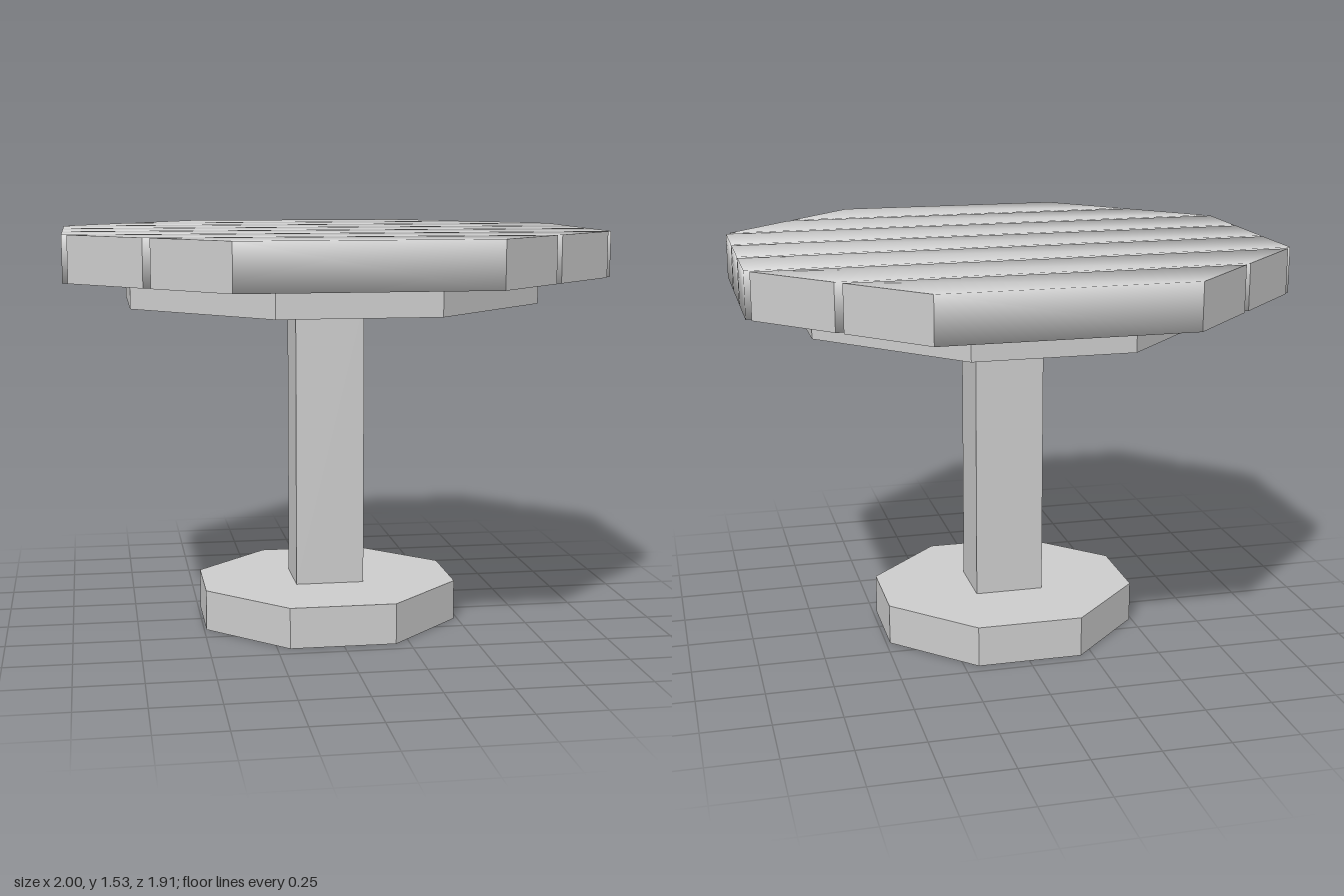
import * as THREE from 'three';

const stone = new THREE.MeshStandardMaterial({ color: 0xcccccc });
stone.name = 'pale grey';

// Octagonal slab: half-size (rx, rz) with corners cut so |x| + |z| <= cut
function octagonSlab(name, rx, rz, cut, y0, y1, cx, cz) {
  const a = cut - rz, b = cut - rx;
  const outline = [[a, -rz], [rx, -b], [rx, b], [a, rz], [-a, rz], [-rx, b], [-rx, -b], [-a, -rz]];
  const shape = new THREE.Shape(outline.map(([x, z]) => new THREE.Vector2(x, z)));
  const geo = new THREE.ExtrudeGeometry(shape, { depth: y1 - y0, bevelEnabled: false });
  geo.rotateX(-Math.PI / 2);
  const mesh = new THREE.Mesh(geo, stone);
  mesh.name = name;
  mesh.position.set(cx, y0, cz);
  return mesh;
}

// Plank with softly shaded long edges; mitred ends keep crisp edges
function plank(zBack, zFront, y0, y1) {
  const halfLength = z => Math.min(1, 1.408 - Math.abs(z));
  const xb = halfLength(zBack), xf = halfLength(zFront);
  const mitred = xb !== xf;
  const corners = [];
  for (const y of [y1, y0]) {
    corners.push([-xb, y, zBack], [-xf, y, zFront], [xf, y, zFront], [xb, y, zBack]);
  }
  const points = corners.flat();
  if (mitred) points.push(...corners.flat());
  const index = [];
  const quad = (a, b, c, d) => index.push(a, b, c, a, c, d);
  quad(0, 1, 2, 3); // top
  quad(7, 6, 5, 4); // underside
  quad(1, 5, 6, 2); // front
  quad(3, 7, 4, 0); // back
  const o = mitred ? 8 : 0;
  quad(o, o + 4, o + 5, o + 1); // ends
  quad(o + 2, o + 6, o + 7, o + 3);
  const geo = new THREE.BufferGeometry();
  geo.setAttribute('position', new THREE.Float32BufferAttribute(points, 3));
  geo.setIndex(index);
  geo.computeVertexNormals();
  const mesh = new THREE.Mesh(geo, stone);
  mesh.name = 'plank';
  return mesh;
}

export function createModel() {
  const table = new THREE.Group();
  table.name = 'table';

  // Foot, post and the plate under the planks
  table.add(octagonSlab('foot', 0.488, 0.447, 0.647, 0, 0.155, -0.003, -0.007));
  const post = new THREE.Mesh(new THREE.BoxGeometry(0.264, 1.1, 0.24), stone);
  post.name = 'post';
  post.position.set(-0.003, 0.705, -0.007);
  table.add(post);
  table.add(octagonSlab('supportPlate', 0.762, 0.76, 1.05, 1.255, 1.36, 0, -0.006));

  // Seven planks forming the octagonal top
  const top = new THREE.Group();
  top.name = 'tableTop';
  const pitch = 0.2765, half = 0.126;
  for (let i = -3; i <= 3; i++) {
    top.add(plank(i * pitch - half, i * pitch + half, 1.36, 1.53));
  }
  table.add(top);
  return table;
}
